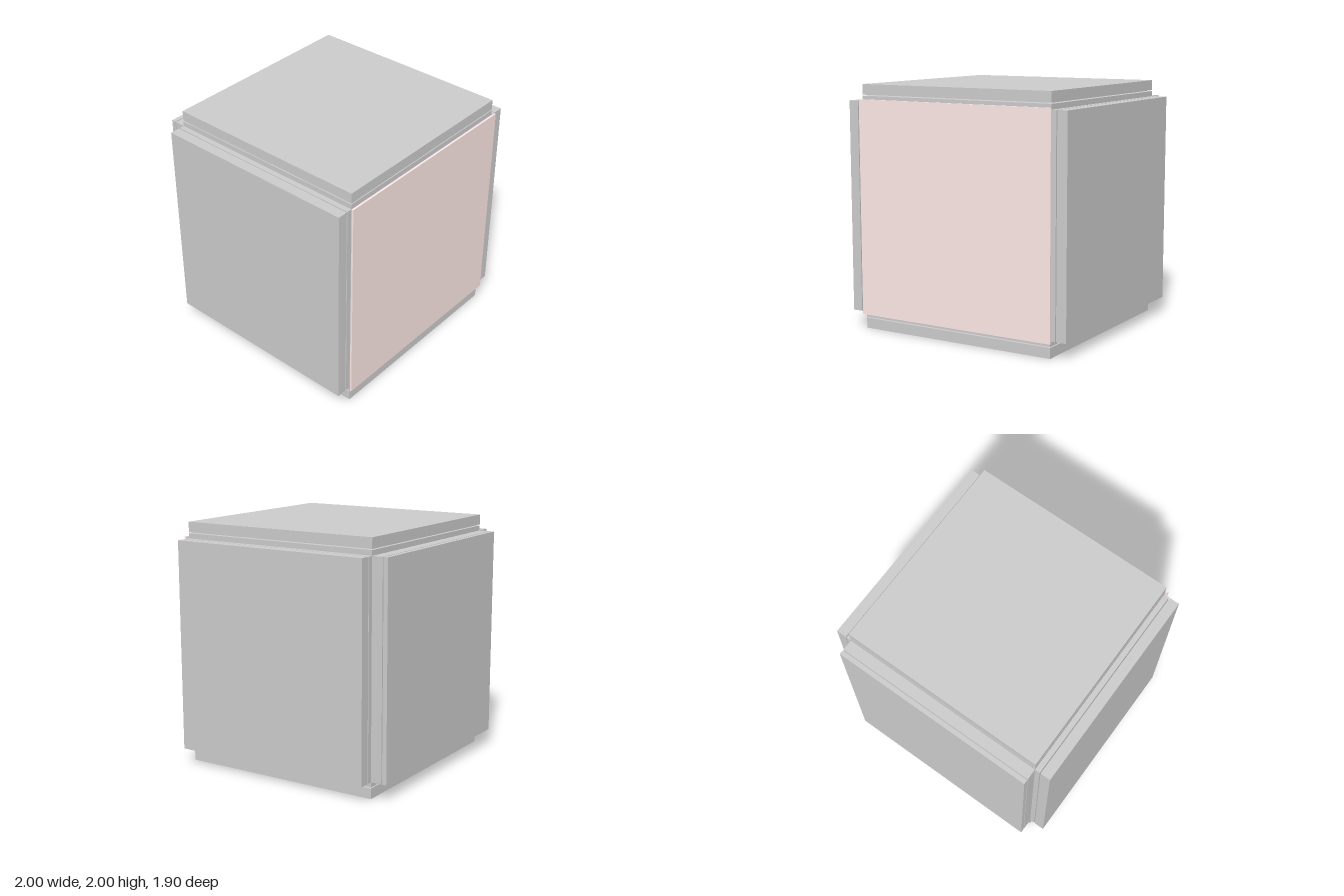
import * as THREE from 'three';

const SIZE = 1.73;   // edge length of the square sheets
const CY = 1.0;      // height of the box centre
const CZ = 0.05;     // depth of the side, top and bottom sheets

export function createModel() {
  const model = new THREE.Group();
  const grey = new THREE.MeshStandardMaterial({ color: 0xcccccc, flatShading: true });
  const pink = new THREE.MeshStandardMaterial({ color: 0xfce8e5, flatShading: true });

  const slab = (name, parent, size, position, material = grey) => {
    const mesh = new THREE.Mesh(new THREE.BoxGeometry(...size), material);
    mesh.name = name;
    mesh.position.set(...position);
    parent.add(mesh);
  };

  // Distances from the centre to the inner and outer face of each sheet
  const wallLayers = [[0.865, 0.907], [0.915, 0.957], [0.957, 1.0]];
  const backLayers = [[0.815, 0.86], [0.86, 0.906], [0.913, 0.95]];

  // Walls made of three stacked sheets each, left free at the corners
  const walls = [
    ['leftWall', 'x', 1, wallLayers],
    ['rightWall', 'x', -1, wallLayers],
    ['topWall', 'y', 1, wallLayers],
    ['bottomWall', 'y', -1, wallLayers],
    ['backWall', 'z', -1, backLayers],
  ];
  for (const [name, axis, sign, layers] of walls) {
    const wall = new THREE.Group();
    wall.name = name;
    const k = 'xyz'.indexOf(axis);
    layers.forEach(([inner, outer], i) => {
      const size = [SIZE, SIZE, SIZE];
      const position = [0, CY, CZ];
      size[k] = outer - inner;
      position[k] = (axis === 'y' ? CY : 0) + sign * (inner + outer) / 2;
      slab(`${name}Sheet${i + 1}`, wall, size, position);
    });
    model.add(wall);
  }

  // Thin front: a backing sheet with a slightly larger tinted cover
  slab('frontSheet', model, [SIZE, SIZE, 0.016], [0, CY, 0.923]);
  slab('frontCover', model, [1.76, 1.76, 0.016], [0, CY, 0.939], pink);

  return model;
}
